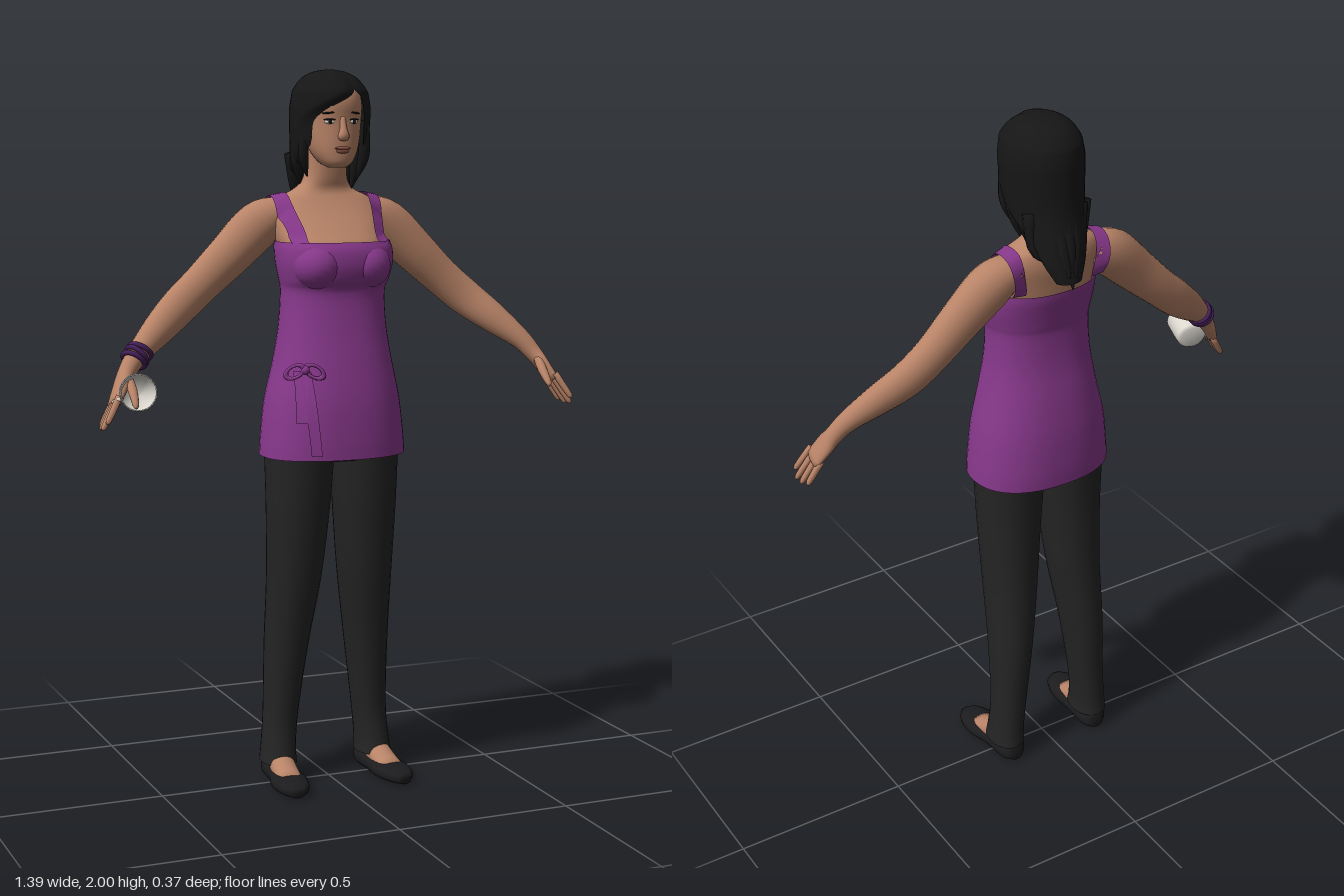
import * as THREE from 'three';
import { mergeVertices } from 'three/addons/utils/BufferGeometryUtils.js';

const V = (x, y, z) => new THREE.Vector3(x, y, z);
const mat = (name, color, side = THREE.FrontSide) => new THREE.MeshStandardMaterial({ name, color, side });

export function createModel() {
  const skin = mat('skin', 0xb98468);
  const purple = mat('purple cloth', 0x87388b, THREE.DoubleSide);
  const black = mat('black trousers', 0x242424, THREE.DoubleSide);
  const hairMat = mat('hair', 0x161616, THREE.DoubleSide);
  const shoeMat = mat('shoe leather', 0x1c1b1d);
  const bandMat = mat('bracelet violet', 0x45205a);
  const china = mat('cup white', 0xdcd8d0, THREE.DoubleSide);
  const lipMat = mat('lips', 0x8d5346);
  const eyeWhite = mat('eye white', 0xd9d0c8);

  const model = new THREE.Group();
  const add = (name, geo, material, parent = model) => {
    const m = new THREE.Mesh(geo, material);
    m.name = name;
    parent.add(m);
    return m;
  };

  // Smooth skin over elliptical sections [x, y, z, ru, rv, startAngle, endAngle]
  function loft(secs, { hint = V(0, 0, 1), flat = false, n = 24, per = 4, exp = 2, caps = true, tuck = 0 } = {}) {
    const curve = (f) => new THREE.CatmullRomCurve3(secs.map(f), false, 'catmullrom', 0.5);
    const path = curve((s) => V(s[0], s[1], s[2]));
    const radii = curve((s) => V(s[3], s[4], 0));
    const arcs = curve((s) => V(s[5] ?? 0, s[6] ?? 360, 0));
    const rows = (secs.length - 1) * per, pos = [], idx = [];
    const ring = (t, k) => {
      const c = path.getPoint(t), r = radii.getPoint(t), arc = arcs.getPoint(t);
      const up = V(0, Math.sign(secs.at(-1)[1] - secs[0][1]), 0);
      const tan = flat ? up : path.getTangent(t);
      const v = hint.clone().addScaledVector(tan, -hint.dot(tan)).normalize();
      const u = tan.clone().cross(v);
      for (let j = 0; j <= n; j++) {
        const a = THREE.MathUtils.degToRad(THREE.MathUtils.lerp(arc.x, arc.y, j / n));
        const sq = (w) => Math.sign(w) * Math.abs(w) ** (2 / exp);
        const e = k * (1 - tuck * Math.max(0, 1 - Math.min(j, n - j) / 3));
        const p = c.clone().addScaledVector(u, r.x * e * sq(Math.sin(a))).addScaledVector(v, r.y * e * sq(Math.cos(a)));
        pos.push(p.x, p.y, p.z);
      }
    };
    if (caps) ring(0, 0);
    for (let i = 0; i <= rows; i++) ring(i / rows, 1);
    if (caps) ring(1, 0);
    const total = pos.length / 3 / (n + 1);
    for (let i = 0; i < total - 1; i++) for (let j = 0; j < n; j++) {
      const a = i * (n + 1) + j, b = a + n + 1;
      idx.push(a, a + 1, b + 1, a, b + 1, b);
    }
    let g = new THREE.BufferGeometry();
    g.setAttribute('position', new THREE.Float32BufferAttribute(pos, 3));
    g.setIndex(idx);
    g = mergeVertices(g, 1e-5);
    g.computeVertexNormals();
    return g;
  }
  // Level sections [y, centreX, halfWidth, frontZ, backZ, ...arc], listed bottom to top
  const body = (rows, opt) => loft(
    rows.map(([y, x, rx, f, b, ...arc]) => [x, y, (f + b) / 2, rx, (f - b) / 2, ...arc]), { flat: true, ...opt });

  // Ribbon laid on other meshes: each ray is [left origin, right origin, direction]
  function drape(targets, rays, gap = 0.006) {
    const pos = [], idx = [], caster = new THREE.Raycaster();
    for (const [l, r, d] of rays) {
      const hits = [l, r].map((o) => {
        caster.set(o, d);
        return caster.intersectObjects(targets)[0]?.point.addScaledVector(d, -gap);
      });
      if (hits[0] && hits[1]) hits.forEach((p) => pos.push(p.x, p.y, p.z));
    }
    for (let i = 0; i + 3 < pos.length / 3; i += 2) idx.push(i, i + 1, i + 3, i, i + 3, i + 2);
    const g = new THREE.BufferGeometry();
    g.setAttribute('position', new THREE.Float32BufferAttribute(pos, 3));
    g.setIndex(idx);
    g.computeVertexNormals();
    return g;
  }
  const blob = (name, material, p, s) => {
    const m = add(name, new THREE.SphereGeometry(1, 20, 14), material);
    m.position.set(...p);
    m.scale.set(...s);
    return m;
  };

  // Chest, shoulders and neck
  const torso = add('chestAndNeck', body([
    [1.46, 0, 0.145, 0.135, -0.085], [1.52, 0, 0.15, 0.132, -0.095], [1.56, 0, 0.157, 0.1, -0.1],
    [1.61, 0, 0.158, 0.055, -0.105], [1.65, 0, 0.135, 0.025, -0.1], [1.675, 0, 0.085, 0.015, -0.09],
    [1.71, 0.002, 0.06, 0.022, -0.08], [1.8, 0.002, 0.057, 0.035, -0.07]], { exp: 2.3, n: 32 }), skin);

  // Tunic, flared at the hem
  const tunic = add('tunic', body([
    [0.945, -0.002, 0.206, 0.18, -0.12], [1.0, -0.002, 0.202, 0.18, -0.122], [1.1, -0.002, 0.19, 0.174, -0.118],
    [1.2, 0, 0.168, 0.158, -0.105], [1.3, 0, 0.152, 0.14, -0.087], [1.395, 0.002, 0.147, 0.13, -0.082],
    [1.43, 0.003, 0.154, 0.148, -0.087], [1.47, 0.004, 0.163, 0.158, -0.095], [1.51, 0.004, 0.165, 0.155, -0.104],
    [1.535, 0.003, 0.161, 0.142, -0.107]], { exp: 2.3, n: 40, caps: false }), purple);
  for (const s of [1, -1]) blob('bust', purple, [s * 0.072, 1.47, 0.09], [0.07, 0.066, 0.076]);

  // Arms with hands, from shoulder to fingertips
  const armMeshes = [];
  for (const s of [1, -1]) {
    const side = s > 0 ? 'left' : 'right';
    armMeshes.push(add(side + 'Arm', loft([
      [0.12, 1.612, -0.045, 0.046, 0.05], [0.19, 1.577, -0.045, 0.066, 0.053], [0.28, 1.495, -0.038, 0.061, 0.046],
      [0.36, 1.422, -0.035, 0.054, 0.041], [0.43, 1.362, -0.022, 0.052, 0.038], [0.5, 1.305, 0.012, 0.044, 0.035],
      [0.57, 1.245, 0.05, 0.03, 0.028], [0.605, 1.203, 0.07, 0.024, 0.026], [0.625, 1.172, 0.085, 0.019, 0.034],
      [0.652, 1.125, 0.108, 0.013, 0.035]].map(([x, ...r]) => [s * x, ...r]), { n: 20 }), skin));
    for (let i = 0; i < 4; i++) {
      const o = (i - 1.5) * 0.018, len = [0.85, 1, 0.95, 0.8][3 - i];
      const p = (k, r) => [s * (0.645 + 0.048 * k * len), 1.138 + o * 0.35 - 0.08 * k * len, 0.104 + o + (0.02 + o * 0.3) * k * len, r, r];
      add(side + 'Finger', loft([p(0, 0.01), p(0.5, 0.0095), p(0.9, 0.008), p(1, 0.004)], { n: 8, per: 2 }), skin);
    }
    add(side + 'Thumb', loft([[s * 0.61, 1.19, 0.09, 0.013, 0.013], [s * 0.607, 1.16, 0.125, 0.013, 0.013],
      [s * 0.609, 1.128, 0.158, 0.009, 0.009], [s * 0.61, 1.118, 0.166, 0.004, 0.004]], { n: 10, per: 2, hint: V(1, 0, 0) }), skin);

    // Trouser leg
    add(side + 'TrouserLeg', body([
      [0.055, 0.146, 0.05, 0.045, -0.093], [0.1, 0.144, 0.047, 0.035, -0.09], [0.2, 0.136, 0.048, 0.03, -0.09],
      [0.4, 0.122, 0.06, 0.055, -0.095], [0.6, 0.107, 0.075, 0.09, -0.083], [0.8, 0.1, 0.087, 0.115, -0.08],
      [0.97, 0.096, 0.095, 0.13, -0.09]].map(([y, x, ...r]) => [y, s * x, ...r]), { exp: 2.2, caps: false }), black);

    // Foot and slip-on shoe
    add(side + 'Foot', loft([[0.145, 0.13, -0.035, 0.035, 0.034], [0.146, 0.075, -0.02, 0.04, 0.034],
      [0.15, 0.048, 0.03, 0.034, 0.036], [0.155, 0.032, 0.1, 0.018, 0.036]].map(([x, ...r]) => [s * x, ...r]),
    { hint: V(1, 0, 0) }), skin);
    add(side + 'Shoe', loft([[0.143, 0.032, -0.088, 0.022, 0.025], [0.144, 0.03, -0.06, 0.04, 0.03],
      [0.148, 0.026, 0.02, 0.042, 0.026], [0.155, 0.024, 0.09, 0.052, 0.024], [0.16, 0.022, 0.15, 0.04, 0.02],
      [0.164, 0.017, 0.178, 0.018, 0.013]].map(([x, ...r]) => [s * x, ...r]), { hint: V(0, 1, 0), exp: 2.4 }), shoeMat);
  }
  add('trouserSeat', body([[0.93, 0, 0.17, 0.11, -0.085], [1.0, 0, 0.18, 0.14, -0.1], [1.12, 0, 0.165, 0.14, -0.1]]), black);

  // Shoulder straps, laid over chest and back
  for (const s of [1, -1]) {
    const rays = [];
    for (let a = -14; a <= 200; a += 6) {
      const t = THREE.MathUtils.degToRad(a), d = V(0, -Math.sin(t), -Math.cos(t));
      const x = s * (0.122 + 0.016 * Math.max(0, Math.sin(t)));
      rays.push([-0.02, 0.02].map((w) => V(x + w, 1.56, -0.02).addScaledVector(d, -0.4)).concat(d));
    }
    add('shoulderStrap', drape([torso, tunic, ...armMeshes], rays, 0.007), purple);
  }

  // Side bow with two hanging tails
  for (const [x0, x1, y1] of [[-0.125, -0.105, 0.96], [-0.135, -0.14, 1.05]]) {
    const rays = [];
    for (let k = 0; k <= 1.001; k += 0.1) {
      const x = THREE.MathUtils.lerp(x0, x1, k), y = THREE.MathUtils.lerp(1.19, y1, k);
      rays.push([V(x - 0.014, y, 0.5), V(x + 0.014, y, 0.5), V(0, 0, -1)]);
    }
    add('bowTail', drape([tunic], rays, 0.012), purple);
  }
  for (const s of [1, -1]) {
    const loop = add('bowLoop', new THREE.TorusGeometry(0.024, 0.007, 8, 18), purple);
    loop.position.set(-0.13 + s * 0.026, 1.19, 0.148 + s * 0.008);
    loop.rotation.set(0, -0.4, s * -0.5);
    loop.scale.set(1.1, 0.65, 1.4);
  }
  blob('bowKnot', purple, [-0.13, 1.195, 0.152], [0.012, 0.013, 0.012]);

  // Head and face
  add('head', body([
    [1.735, 0, 0.024, 0.088, 0.03], [1.748, 0, 0.043, 0.1, 0], [1.775, 0, 0.061, 0.104, -0.03],
    [1.81, 0, 0.073, 0.105, -0.06], [1.86, 0, 0.081, 0.104, -0.08], [1.91, 0, 0.083, 0.108, -0.09],
    [1.95, 0, 0.07, 0.092, -0.08], [1.975, 0, 0.035, 0.05, -0.05]], { exp: 2.2, n: 32 }), skin);
  add('nose', loft([[0, 1.87, 0.1, 0.008, 0.006], [0, 1.84, 0.107, 0.01, 0.01], [0, 1.82, 0.109, 0.016, 0.013],
    [0, 1.81, 0.104, 0.012, 0.008]], { n: 14 }), skin);
  blob('upperLip', lipMat, [0, 1.787, 0.102], [0.023, 0.005, 0.009]);
  blob('lowerLip', lipMat, [0, 1.779, 0.101], [0.019, 0.006, 0.009]);
  for (const s of [1, -1]) {
    blob('eye', eyeWhite, [s * 0.034, 1.858, 0.094], [0.015, 0.006, 0.007]).rotation.y = s * 0.3;
    blob('iris', hairMat, [s * 0.034, 1.858, 0.0985], [0.006, 0.006, 0.004]);
    blob('upperLashes', hairMat, [s * 0.035, 1.864, 0.0955], [0.017, 0.0025, 0.007]).rotation.y = s * 0.3;
    const brow = blob('eyebrow', hairMat, [s * 0.036, 1.882, 0.0955], [0.02, 0.003, 0.006]);
    brow.rotation.set(0, s * 0.3, s * -0.1);
  }

  // Hair: a shell that is open over the face, with a swept fringe
  add('hair', body([
    [1.59, 0.012, 0.04, -0.11, -0.175, 90, 270], [1.64, 0.01, 0.066, -0.06, -0.165, 90, 270],
    [1.7, 0.006, 0.088, 0.01, -0.148, 92, 262], [1.75, 0.005, 0.1, 0.08, -0.135, 66, 285],
    [1.8, 0.005, 0.106, 0.11, -0.13, 50, 305], [1.86, 0.005, 0.109, 0.12, -0.13, 44, 310],
    [1.895, 0.005, 0.109, 0.123, -0.13, 40, 335], [1.925, 0.005, 0.104, 0.122, -0.126, 34, 368],
    [1.945, 0.004, 0.098, 0.115, -0.12, 20, 380], [1.975, 0.003, 0.075, 0.088, -0.095, 20, 380],
    [1.992, 0.003, 0.045, 0.05, -0.06, 20, 380], [1.998, 0.003, 0.015, 0.015, -0.025, 20, 380]],
  { n: 40, tuck: 0.1, caps: false }), hairMat);
  blob('hairCrown', hairMat, [0.003, 1.95, -0.005], [0.085, 0.049, 0.095]);

  // Loose locks at the nape and beside the face
  for (let i = 0; i < 9; i++) {
    const k = (i - 4) / 4, drop = 0.05 * Math.abs(k) + 0.02 * (i % 2);
    add('napeLock', loft([
      [k * 0.085, 1.77, -0.07 - 0.03 * (1 - k * k), 0.018, 0.022],
      [0.008 + k * 0.07, 1.68, -0.085 - 0.055 * (1 - k * k), 0.02, 0.02],
      [0.012 + k * 0.045, 1.62 + drop * 0.6, -0.115 - 0.04 * (1 - k * k), 0.015, 0.015],
      [0.015 + k * 0.035, 1.575 + drop, -0.14 - 0.035 * (1 - k * k), 0.002, 0.002]], { n: 8, per: 3 }), hairMat);
  }
  for (const [x, z, end, r] of [[0.088, 0.045, 1.7, 0.017], [0.085, 0.01, 1.67, 0.022], [0.082, -0.03, 1.66, 0.024],
    [-0.082, 0.03, 1.71, 0.015], [-0.082, -0.02, 1.69, 0.02]]) {
    add('sideLock', loft([[x, 1.86, z, r * 0.8, r], [x * 1.02, 1.78, z - 0.005, r, r],
      [x * 0.95, (1.78 + end) / 2, z - 0.012, r * 0.8, r * 0.8], [x * 0.82, end, z - 0.02, 0.002, 0.002]], { n: 8 }), hairMat);
  }

  // Bracelets on the right wrist
  const armDir = V(-0.64, -0.66, 0.38).normalize();
  for (const [k, tilt] of [[-0.016, 0.15], [0, -0.12], [0.016, 0.1]]) {
    const band = add('bracelet', new THREE.TorusGeometry(0.032, 0.007, 8, 24), bandMat);
    band.position.set(-0.572, 1.243, 0.052).addScaledVector(armDir, k);
    band.quaternion.setFromUnitVectors(V(0, 0, 1), armDir.clone().add(V(tilt, 0, 0)).normalize());
  }

  // Cup held sideways, mouth to the front
  const cup = new THREE.Group();
  cup.name = 'cup';
  const profile = [[0, -0.045], [0.034, -0.045], [0.043, -0.036], [0.047, 0], [0.05, 0.045], [0.046, 0.045], [0.042, -0.03], [0, -0.036]];
  add('cupBowl', new THREE.LatheGeometry(profile.map((p) => new THREE.Vector2(...p)), 32), china, cup);
  const handle = add('cupHandle', new THREE.TorusGeometry(0.024, 0.006, 8, 20, Math.PI), china, cup);
  handle.position.x = -0.045;
  handle.rotation.z = Math.PI / 2;
  cup.position.set(-0.593, 1.152, 0.132);
  cup.quaternion.setFromUnitVectors(V(0, 1, 0), V(-0.3, 0.2, 0.93).normalize());
  model.add(cup);

  return model;
}
